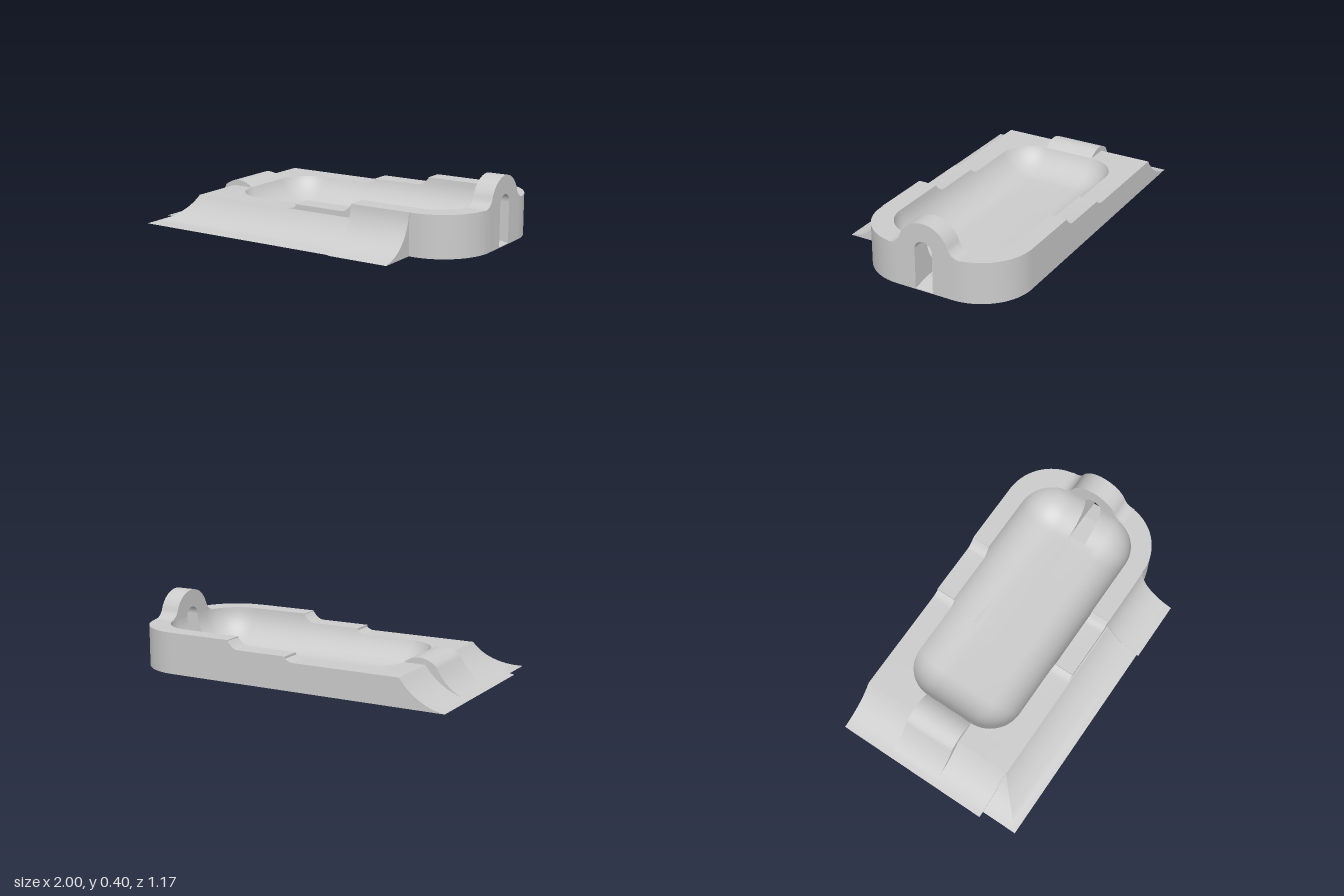
import * as THREE from 'three';
import { toCreasedNormals } from 'three/addons/utils/BufferGeometryUtils.js';

const grey = new THREE.MeshStandardMaterial({ color: 0xcccccc });
const ZC = -0.1125;          // centre line of the body
const HALF = 0.4725;         // half width of the body
const R = 0.215;             // bowl fillet radius
const FLOOR = 0.025;
const SLOT = 0.053;          // half width of the slot
const FLAT = 0.3625 - R;     // half width of the flat bowl floor
const X0 = -0.41, X1 = 0.67; // ends of the flat bowl floor
const sq = (v) => Math.sqrt(Math.max(0, v));
const steps = (n, f) => Array.from({ length: n + 1 }, (_, i) => f(i / n));

// Skins a stack of equal-length rings, optionally with convex end caps
function loft(rings, caps) {
  const n = rings[0].length, index = [];
  for (let i = 0; i < rings.length - 1; i++) {
    for (let j = 0; j < n; j++) {
      const a = i * n + j, b = i * n + (j + 1) % n;
      index.push(a, b, b + n, a, b + n, a + n);
    }
  }
  const top = (rings.length - 1) * n;
  for (let j = 1; caps && j < n - 1; j++) index.push(0, j + 1, j, top, top + j, top + j + 1);
  const geo = new THREE.BufferGeometry();
  geo.setAttribute('position', new THREE.Float32BufferAttribute(rings.flat(2), 3));
  geo.setIndex(index);
  return toCreasedNormals(geo, 0.5);
}

// Height of the deck along the length: scoop, then two coved steps
function deck(x) {
  if (x < -0.74) return Math.max(0, 0.377 - sq(0.381 ** 2 - (x + 1.053) ** 2));
  if (x < -0.11) return 0.16;
  if (x <= -0.055) return 0.16 + 0.018 * ((x + 0.11) / 0.055) ** 2;
  if (x < 0.25) return 0.19;
  if (x <= 0.315) return 0.19 + 0.045 * ((x - 0.25) / 0.065) ** 2;
  return 0.24;
}

// One cross-section of the body at x: side, deck, bowl, slot and back
function bodySection(x) {
  const t = deck(x);
  const qx = Math.max(X0 - x, x - X1, 0);
  const reach = sq(R * R - (FLOOR + R - t) ** 2);
  const rim = FLAT + sq(reach * reach - qx * qx);
  const outer = x > 0.7 ? HALF - 0.3 + sq(0.09 - (x - 0.7) ** 2) : HALF;
  const bowl = (z) => {
    const e = Math.hypot(qx, Math.max(z - FLAT, 0));
    return e >= reach ? t : Math.min(t, FLOOR + R - sq(R * R - e * e));
  };
  const slotFloor = x > 0.885 ? FLOOR - 0.02 * (x - 0.885) / 0.115 : FLOOR;
  const inSlot = x > 0.69 ? Math.min(slotFloor, bowl(0)) : bowl(0);
  const half = [[SLOT, inSlot], [SLOT + 0.0001, bowl(SLOT)]];
  for (const s of steps(12, (u) => Math.sin(u * Math.PI / 2))) {
    const z = FLAT + (rim - FLAT) * s;
    half.push([z, s === 1 ? t : bowl(z)]);
  }
  half.push([outer, t], [outer, 0]);
  const left = half.slice().reverse().map(([z, y]) => [x, y, ZC - z]);
  return [...left, ...half.map(([z, y]) => [x, y, ZC + z])];
}

function bodyGeometry() {
  const quarter = Math.PI / 2, a0 = Math.asin(0.185 / 0.3);
  const xs = [
    ...steps(12, (u) => -1 + 0.26 * u),
    ...steps(14, (u) => X0 - 0.1995 * Math.cos(u * quarter)),
    ...steps(5, (u) => -0.11 + 0.055 * u), -0.0549,
    ...steps(5, (u) => 0.25 + 0.065 * u), 0.3151,
    ...steps(16, (u) => X1 + R * Math.sin(u * quarter)),
    ...steps(12, (u) => 0.7 + 0.3 * Math.sin(a0 + (quarter - a0) * u)),
  ];
  return loft(xs.map(bodySection));
}

// Side ramp as stacked rectangles shrinking along a concave arc
function rampGeometry(height, zc, yc, r, xLeft, xRight) {
  return loft(steps(14, (u) => {
    const y = height * u;
    const z = zc - sq(r * r - (yc - y) ** 2);
    const xl = xLeft(z);
    return [[xl, y, 0.35], [xl, y, z], [xRight, y, z], [xRight, y, 0.35]];
  }), true);
}

// Flat end wall with the slot notch, facing +x
function endFaceGeometry() {
  const w = HALF - 0.3;
  const s = new THREE.Shape([
    [-w, 0], [w, 0], [w, 0.24], [SLOT, 0.24], [SLOT, 0.005], [-SLOT, 0.005], [-SLOT, 0.24], [-w, 0.24],
  ].map(([u, y]) => new THREE.Vector2(u, y)));
  return new THREE.ShapeGeometry(s).rotateY(Math.PI / 2).translate(1, 0, ZC);
}

// Arched lug bridging the slot, with flared feet
function lugGeometry() {
  const a = Math.PI / 9, r = 0.155;
  const s = new THREE.Shape();
  s.moveTo(0.22, 0.24);
  s.quadraticCurveTo(0.165, 0.24, r * Math.cos(a), 0.24 + r * Math.sin(a));
  s.absarc(0, 0.24, r, a, Math.PI - a, false);
  s.quadraticCurveTo(-0.165, 0.24, -0.22, 0.24);
  s.lineTo(-SLOT, 0.238);
  s.absarc(0, 0.238, SLOT, Math.PI, 0, true);
  s.closePath();
  const geo = new THREE.ExtrudeGeometry(s, { depth: 0.115, bevelEnabled: false, curveSegments: 24 });
  return toCreasedNormals(geo.rotateY(Math.PI / 2).translate(0.885, 0, ZC), 0.5);
}

// Raised lip across the scooped end
function lipGeometry() {
  const s = new THREE.Shape();
  s.moveTo(-0.975, 0.001);
  s.lineTo(-0.61, 0.001);
  s.lineTo(-0.61, 0.16);
  s.quadraticCurveTo(-0.7, 0.232, -0.8, 0.16);
  s.quadraticCurveTo(-0.87, 0.03, -0.975, 0.003);
  s.closePath();
  const geo = new THREE.ExtrudeGeometry(s, { depth: 0.31, bevelEnabled: false, curveSegments: 16 });
  return toCreasedNormals(geo.translate(0, 0, -0.27), 0.5);
}

export function createModel() {
  const model = new THREE.Group();
  model.name = 'tray';
  const add = (name, geometry) => {
    const mesh = new THREE.Mesh(geometry, grey);
    mesh.name = name;
    model.add(mesh);
  };
  add('trayBody', bodyGeometry());
  add('endFace', endFaceGeometry());
  add('archedLug', lugGeometry());
  add('endLip', lipGeometry());
  const mitre = (z) => -0.74 - (z - 0.367) * 0.23 / 0.215;
  add('lowSideRamp', rampGeometry(0.16, 0.631, 0.288, 0.293, mitre, 0.315));
  add('tallSideRamp', rampGeometry(0.24, 0.62, 0.255, 0.257, () => 0.315, 0.68));
  return model;
}
